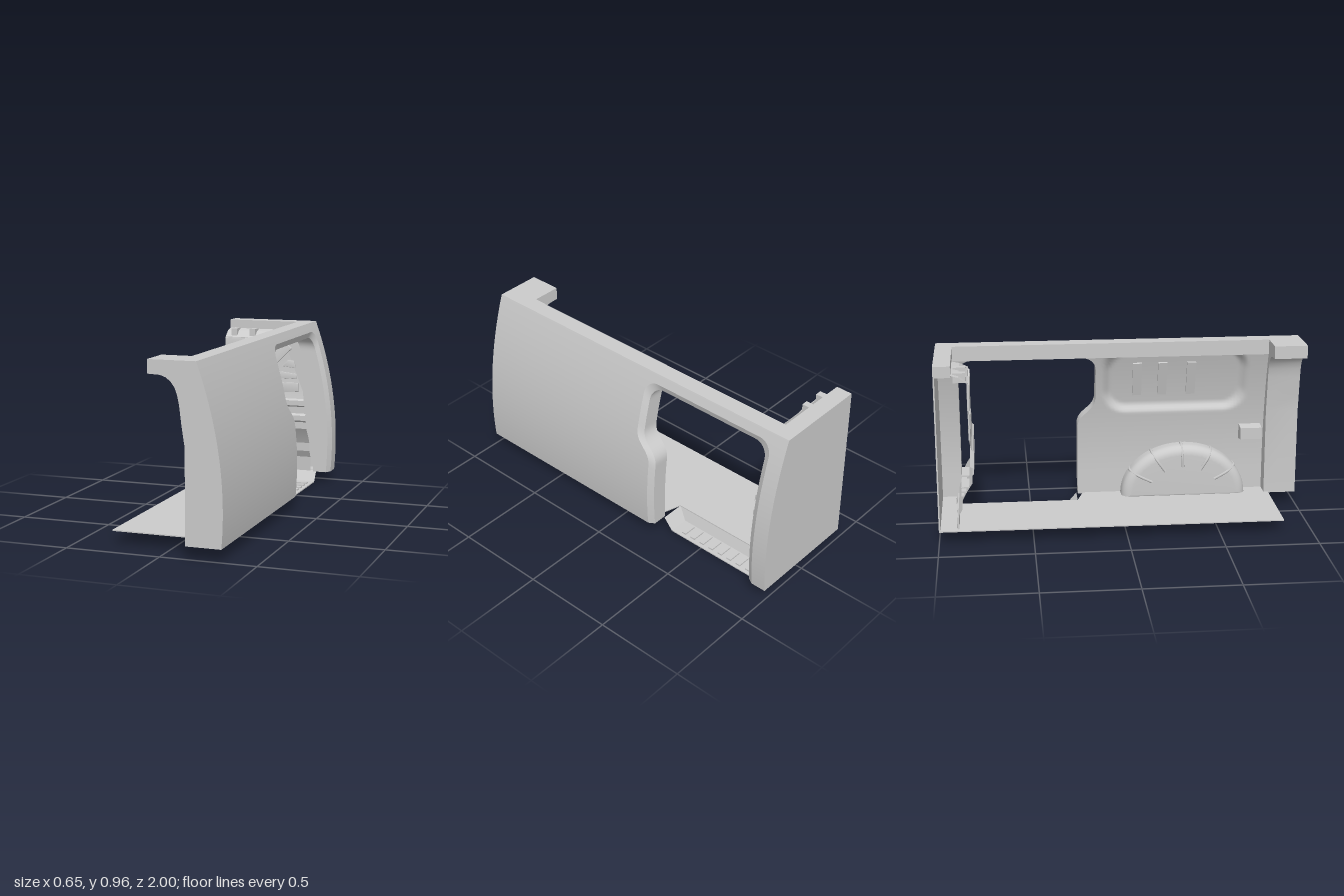
import * as THREE from 'three';
import { toCreasedNormals } from 'three/addons/utils/BufferGeometryUtils.js';

const mat = new THREE.MeshStandardMaterial({ color: 0xcccccc, side: THREE.DoubleSide });
const BASE = 0.065, TOP = 0.965;
const outerX = y => 0.328 - 0.253 * (y - 0.24) ** 2;               // curved body side
const innerX = y => 0.22 - 0.115 * (Math.max(y - 0.2, 0) / 0.7) ** 2; // inner lining
const lerp = THREE.MathUtils.lerp, smooth = THREE.MathUtils.smoothstep;
const steps = (a, b, n) => Array.from({ length: n + 1 }, (_, i) => lerp(a, b, i / n));

export function createModel() {
  const group = new THREE.Group();
  const add = (name, geo, crease = 0.5) => {
    const mesh = new THREE.Mesh(crease ? toCreasedNormals(geo, crease) : geo, mat);
    mesh.name = name;
    group.add(mesh);
    return mesh;
  };
  // Surface through equal-length rows of [x, y, z] points
  const grid = rows => {
    const n = rows[0].length, index = [];
    for (let i = 0; i < rows.length - 1; i++) for (let j = 0; j < n - 1; j++) {
      const a = i * n + j, b = a + n;
      index.push(a, a + 1, b, b, a + 1, b + 1);
    }
    const g = new THREE.BufferGeometry();
    g.setAttribute('position', new THREE.Float32BufferAttribute(rows.flat(2), 3));
    g.setIndex(index);
    g.computeVertexNormals();
    return g;
  };
  const box = (name, x0, x1, y0, y1, z0, z1) => {
    const m = add(name, new THREE.BoxGeometry(x1 - x0, y1 - y0, z1 - z0), 0);
    m.position.set((x0 + x1) / 2, (y0 + y1) / 2, (z0 + z1) / 2);
    return m;
  };
  const shapeOf = pts => new THREE.Shape(pts.map(p => new THREE.Vector2(...p)));
  // Shape in x-y pushed out towards +z
  const plate = (name, shape, depth, z, bevel = 0) => {
    const g = new THREE.ExtrudeGeometry(shape, {
      depth, bevelEnabled: bevel > 0, bevelSize: bevel, bevelThickness: bevel, bevelSegments: 2, curveSegments: 10
    });
    const m = add(name, g);
    m.position.z = z;
    return m;
  };

  // Side door aperture as [z, y] points, inset by d
  const aperture = d => {
    const p = new THREE.Path(), f = -0.1 - d, b = -0.915 + d, t = 0.915 - d, r = 0.075;
    p.moveTo(-0.2 - d, BASE);
    p.lineTo(-0.2 - d, 0.46);
    p.bezierCurveTo(-0.2 - d, 0.55, f, 0.55, f, 0.64);
    p.lineTo(f, t - r);
    p.absarc(f - r, t - r, r, 0, Math.PI / 2, false);
    p.lineTo(b + r, t);
    p.absarc(b + r, t - r, r, Math.PI / 2, Math.PI, false);
    p.lineTo(b, BASE);
    return p.getSpacedPoints(140).map(v => [v.x, v.y]);
  };
  const hole = aperture(0), holeIn = aperture(0.032);
  const front = pts => pts.filter(p => p[0] > -0.5);
  const rear = pts => pts.filter(p => p[0] <= -0.5);
  const strip = (pts, zEnd, xf, n) => grid(pts.map(([z, y]) => steps(z, zEnd, n).map(w => [xf(y, w), y, w])));

  // Outer skin around the door
  add('frontSidePanel', strip(front(hole), 1, outerX, 1));
  add('rearSidePanel', strip(rear(hole), -1, outerX, 1));
  add('sidePanelTop', grid(steps(0.915, TOP, 4).map(y => [-1, 1].map(z => [outerX(y), y, z]))));

  // Door jamb: sloped lip, then a return to the lining
  const jamb = [
    hole.map(([z, y]) => [outerX(y), y, z]),
    holeIn.map(([z, y]) => [outerX(y) - 0.02, y, z]),
    holeIn.map(([z, y]) => [innerX(y), y, z])
  ];
  add('doorJamb', grid(jamb));

  // Inner lining with a rounded window recess
  const recess = (y, z) => {
    const qz = Math.abs(z - 0.31) - 0.27, qy = Math.abs(y - 0.74) - 0.06;
    const d = Math.hypot(Math.max(qz, 0), Math.max(qy, 0)) - 0.11;
    return 0.035 * (1 - smooth(d, -0.02, 0.025));
  };
  add('innerLining', strip(front(holeIn), 0.84, (y, z) => innerX(y) + recess(y, z), 60), 0);
  add('rearLining', strip(rear(holeIn), -1, innerX, 1));
  for (const z of [0.1, 0.24, 0.4]) {
    const rib = box('recessRib', -0.006, 0.006, -0.1, 0.1, -0.025, 0.025);
    rib.position.set(innerX(0.74) + 0.028, 0.74, z);
    rib.rotation.z = 0.26;
  }

  // Roof rail
  add('roofRail', grid([[outerX(TOP), TOP], [0.105, TOP], [0.105, 0.883], [0.125, 0.883]]
    .map(([x, y]) => [-1, 1].map(z => [x, y, z]))));

  // Front frame: pillar with curved header corner
  const outerEdge = steps(BASE, TOP, 24).map(y => [outerX(y), y]);
  const inner = [[-0.055, TOP], [-0.055, 0.895], [0.01, 0.892], [0.04, 0.882], [0.065, 0.862], [0.085, 0.835],
    [0.098, 0.8], [0.108, 0.75], [0.12, 0.65], [0.135, 0.55], [0.135, BASE]];
  plate('frontFrame', shapeOf([...outerEdge, ...inner]), 0.18, 0.82);

  // Rear wall and its header
  plate('rearWall', shapeOf([...outerEdge, [-0.32, TOP], [-0.32, BASE]]), 0.008, -1);
  box('rearHeader', -0.32, 0.12, 0.905, TOP, -0.998, -0.91);

  // Pressed bulkhead, profile as [y, z]
  const profile = [[0.915, -0.91], [0.905, -0.87], [0.87, -0.825], [0.56, -0.825], [0.515, -0.815], [0.505, -0.805],
    [0.475, -0.805], [0.465, -0.825], [0.425, -0.825], [0.415, -0.805], [0.385, -0.805], [0.375, -0.815],
    [0.335, -0.815], [0.28, -0.85], [0.24, -0.87], [0.19, -0.872], [0.15, -0.895], [BASE, -0.9]];
  const sideX = y => innerX(y) - 0.02 - 0.1 * smooth(y, 0.82, 0.92);
  add('bulkhead', grid(profile.map(([y, z]) => [[-0.32, y, z], [sideX(y), y, z]])), 0.3);

  // Raised pressings on the bulkhead
  const rounded = (x0, x1, y0, y1, r) => {
    const s = new THREE.Shape();
    s.moveTo(x0, y0);
    s.lineTo(x1 - r, y0);
    s.quadraticCurveTo(x1, y0, x1, y0 + r);
    s.lineTo(x1, y1 - r);
    s.quadraticCurveTo(x1, y1, x1 - r, y1);
    s.lineTo(x0, y1);
    return s;
  };
  plate('bulkheadPanel', rounded(-0.316, -0.105, 0.73, 0.862, 0.05), 0.006, -0.826, 0.004);
  plate('bulkheadSlot', rounded(-0.284, -0.224, 0.56, 0.725, 0.02), 0.004, -0.826, 0.003);
  plate('bulkheadBrace', shapeOf([[-0.155, 0.565], [-0.155, 0.66], [0.055, 0.85], [0.095, 0.815], [-0.08, 0.64],
    [-0.08, 0.605], [0.14, 0.605], [0.14, 0.56], [-0.14, 0.555]]), 0.005, -0.826, 0.004);
  plate('bulkheadRibLow', shapeOf([[-0.025, 0.637], [0.02, 0.672], [0.13, 0.66], [0.13, 0.635]]), 0.004, -0.826, 0.003);
  plate('bulkheadRibHigh', shapeOf([[0.045, 0.708], [0.075, 0.738], [0.115, 0.738], [0.12, 0.7]]), 0.004, -0.826, 0.003);
  for (const x of [-0.268, -0.153]) box('bulkheadTab', x - 0.018, x + 0.018, 0.868, 0.92, -0.9, -0.835);
  for (const x of [-0.225, -0.035]) for (const y of [0.255, 0.278, 0.302])
    box('bulkheadLouvre', x - 0.07, x + 0.07, y - 0.004, y + 0.004, -0.875, lerp(-0.862, -0.833, (y - 0.25) / 0.05));
  plate('bulkheadLowerPanel', rounded(-0.318, 0.075, 0.085, 0.145, 0.015), 0.006, -0.9, 0.003);

  // Floor cut out at the step; drawn in x-z
  const floorShape = shapeOf([[-0.32, -1], [0.319, -1], [0.319, -0.915], [0.1, -0.915], [0.1, -0.24], [0.23, -0.2],
    [0.319, -0.2], [0.319, 0.845], [-0.32, 0.845]]);
  const floor = plate('floor', floorShape, 0.006, 0);
  floor.rotation.x = Math.PI / 2;
  floor.position.y = BASE + 0.006;

  // Step well under the door
  const well = (x, y, z0, z1) => [[0.232, y, z0], [x, y, z0], [x, y, z1], [0.232, y, z1]];
  add('stepWell', grid([well(0.098, BASE + 0.003, -0.24, -0.915), well(0.122, 0.003, -0.295, -0.87)]), 0.3);
  box('stepTread', 0.122, 0.23, 0, 0.006, -0.87, -0.295);
  for (const z of steps(-0.8, -0.36, 7)) box('stepRib', 0.135, 0.21, 0.006, 0.014, z - 0.014, z + 0.014);

  // Wheel arch: bevelled half disc growing inwards from the lining
  const arch = new THREE.Shape();
  arch.moveTo(0.32, 0);
  arch.absellipse(0, 0, 0.32, 0.26, 0, Math.PI, false, 0);
  const archGeo = new THREE.ExtrudeGeometry(arch, {
    depth: 0.06, bevelSize: 0.05, bevelOffset: -0.02, bevelThickness: 0.05, bevelSegments: 6, curveSegments: 32
  });
  archGeo.rotateY(-Math.PI / 2);
  // keep the foot of the arch on the floor
  const pos = archGeo.attributes.position;
  for (let i = 0; i < pos.count; i++) pos.setY(i, Math.max(pos.getY(i), 0));
  const archMesh = add('wheelArch', archGeo, 0.6);
  archMesh.position.set(0.23, BASE + 0.002, 0.36);
  for (const a of [0.6, 1.1, 1.6, 2.1, 2.6]) {
    const at = (x, k) => new THREE.Vector3(x, BASE + 0.29 * k * Math.sin(a), 0.36 + 0.35 * k * Math.cos(a));
    const curve = new THREE.CatmullRomCurve3([at(0.22, 1), at(0.17, 1), at(0.135, 0.93), at(0.12, 0.82), at(0.12, 0.6)]);
    add('wheelArchRib', new THREE.TubeGeometry(curve, 16, 0.008, 6), 0);
  }

  // Small bracket box on the lining beside the front pillar
  plate('sideBracket', shapeOf([[0.14, 0.385], [0.14, 0.45], [0.22, 0.46], [0.22, 0.37]]), 0.12, 0.68);

  return group;
}
